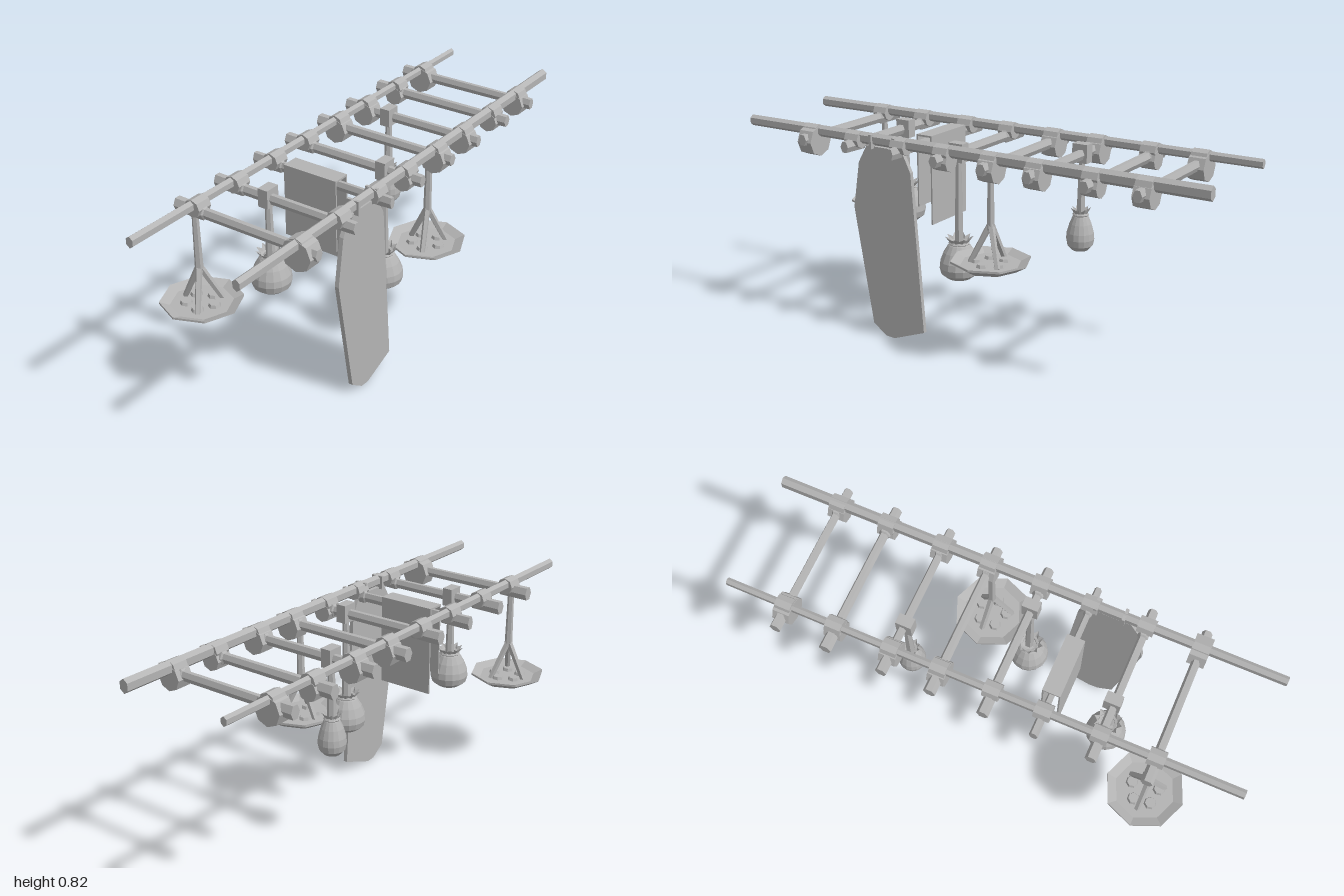
import * as THREE from 'three';

const flat = new THREE.MeshStandardMaterial({ color: 0xb4b4b4, flatShading: true, side: THREE.DoubleSide });
flat.name = 'plain grey';
const V = (x, y, z) => new THREE.Vector3(x, y, z);

function add(parent, name, geometry, x = 0, y = 0, z = 0) {
  const mesh = new THREE.Mesh(geometry, flat);
  mesh.name = name;
  mesh.position.set(x, y, z);
  parent.add(mesh);
  return mesh;
}

// Tapered bar between two points
function bar(parent, name, a, b, ra, rb, sides = 6) {
  const d = b.clone().sub(a);
  const g = new THREE.CylinderGeometry(rb, ra, d.length(), sides);
  const mesh = add(parent, name, g);
  mesh.position.copy(a).add(b).multiplyScalar(0.5);
  mesh.quaternion.setFromUnitVectors(V(0, 1, 0), d.normalize());
  return mesh;
}

// Outline given as [z, y] points, extruded along x
function slab(parent, name, points, x0, x1) {
  const shape = new THREE.Shape(points.map(([z, y]) => new THREE.Vector2(-z, y)));
  const g = new THREE.ExtrudeGeometry(shape, { depth: x1 - x0, bevelEnabled: false });
  return add(parent, name, g.rotateY(Math.PI / 2), x0, 0, 0);
}

const lathe = (points, sides) =>
  new THREE.LatheGeometry(points.map(([r, y]) => new THREE.Vector2(r, y)), sides);

// Long side rail, taller than wide
function rail(parent, x, rBack, rFront) {
  const g = new THREE.CylinderGeometry(rFront, rBack, 2, 6).rotateX(Math.PI / 2);
  g.scale(1, 1.3, 1);
  add(parent, 'sideRail', g, x, 0.797, 0);
}

// Cross beam with thicker ends outside the rails
function crossBeam(parent, z, k) {
  const g = lathe([[0, -0.315], [0.02, -0.315], [0.023, -0.205], [0.017, -0.2],
    [0.018, 0.165], [0.023, 0.17], [0.024, 0.295], [0, 0.295]], 6);
  g.rotateZ(Math.PI / 2);
  g.scale(1, 1.2, k);
  add(parent, 'crossBeam', g, 0, 0.768, z);
}

// Lashings: a small collar round the rail, a larger drum round the joint
function lashing(parent, x, z, r) {
  const disc = (name, radius, y, depth) => add(parent, name,
    new THREE.CylinderGeometry(radius, radius, depth, 8).rotateX(Math.PI / 2), x, y, z);
  disc('railCollar', 0.034, 0.788, 0.062);
  if (r > 0.035) disc('jointDrum', r, 0.757, 0.066);
}

// Hanging dish on a stem with three splayed struts
function dish(parent, x, z, turn) {
  const g = new THREE.Group();
  g.name = 'hangingDish';
  g.position.set(x, 0, z);
  parent.add(g);
  add(g, 'dishPlate', lathe([[0, 0.375], [0.11, 0.375], [0.152, 0.4], [0.152, 0.408],
    [0.115, 0.392], [0, 0.392]], 8));
  bar(g, 'stem', V(0, 0.52, 0), V(0, 0.78, 0), 0.016, 0.012);
  for (let i = 0; i < 3; i++) {
    const a = turn + i * Math.PI * 2 / 3;
    bar(g, 'strut', V(Math.cos(a) * 0.078, 0.39, Math.sin(a) * 0.078), V(0, 0.545, 0), 0.011, 0.013, 5);
  }
  for (let i = 0; i < 5; i++) {
    const a = turn + 0.5 + i * Math.PI * 2 / 5;
    add(g, 'dishPebble', new THREE.CylinderGeometry(0.02, 0.025, 0.014, 7),
      Math.cos(a) * 0.055, 0.397, Math.sin(a) * 0.055);
  }
}

// Tied pouch hanging from a rope looped over a beam
function pouch(parent, x, y, z, s) {
  const g = new THREE.Group();
  g.name = 'hangingPouch';
  g.position.set(x, 0, z);
  parent.add(g);
  const body = lathe([[0, 0], [0.045, 0.006], [0.07, 0.025], [0.077, 0.05], [0.074, 0.075],
    [0.06, 0.11], [0.043, 0.138], [0.032, 0.15]], 16);
  body.scale(s, 1, s);
  add(g, 'pouchBody', body, 0, y, 0);
  // zigzag frill: every second top corner is pushed up and out
  const frill = new THREE.CylinderGeometry(0.04, 0.03, 0.02, 20, 1, true);
  const p = frill.attributes.position;
  for (let i = 0; i < p.count; i++) {
    if (p.getY(i) < 0 || i % 2) continue;
    p.setXYZ(i, p.getX(i) * 1.38, 0.02, p.getZ(i) * 1.38);
  }
  frill.scale(s, 1, s);
  add(g, 'pouchFrill', frill, 0, y + 0.152, 0);
  const collar = new THREE.TorusGeometry(0.034 * s, 0.008, 5, 10).rotateX(Math.PI / 2);
  add(g, 'pouchTie', collar, 0, y + 0.145, 0);
  bar(g, 'rope', V(0, y + 0.145, 0), V(0, 0.76, 0), 0.018, 0.012);
  add(g, 'ropeLoop', new THREE.BoxGeometry(0.042, 0.072, 0.062), 0, 0.772, 0);
}

export function createModel() {
  const model = new THREE.Group();
  model.name = 'hangingRack';

  rail(model, -0.206, 0.014, 0.017);
  rail(model, 0.242, 0.021, 0.017);

  // [z, beam thickness, left drum radius, right drum radius]
  const rows = [
    [-0.767, 0.9, 0.055, 0.048], [-0.566, 1.0, 0.04, 0.04],
    [-0.344, 0.9, 0.05, 0.05], [-0.153, 1.0, 0.05, 0.052],
    [0.053, 0.95, 0.03, 0.038], [0.249, 0.7, 0.03, 0.03],
    [0.465, 0.9, 0.03, 0.03], [0.675, 0.95, 0.03, 0.061],
  ];
  for (const [z, k, left, right] of rows) {
    crossBeam(model, z, k);
    lashing(model, -0.202, z, left);
    lashing(model, 0.244, z, right);
  }

  dish(model, -0.213, 0.68, Math.PI);
  dish(model, 0.222, -0.137, Math.PI * 1.05);

  pouch(model, -0.067, 0.382, 0.46, 1);
  pouch(model, 0.15, 0.27, 0.053, 1);
  pouch(model, -0.093, 0.387, -0.338, 0.7);

  // Sheet folded over a beam, longer at the back
  slab(model, 'foldedSheet', [[0.284, 0.51], [0.284, 0.8], [0.214, 0.8], [0.214, 0.445],
    [0.22, 0.445], [0.22, 0.793], [0.278, 0.793], [0.278, 0.51]], -0.135, 0.097);

  // Tall hanging board under one rail
  slab(model, 'tallBoard', [[0.45, 0.7], [0.48, 0.515], [0.4, 0.045], [0.34, 0.003], [0.3, 0],
    [0.155, 0.055], [0.205, 0.69], [0.245, 0.77], [0.41, 0.77]], 0.232, 0.249);
  for (const z of [0.27, 0.38]) {
    add(model, 'boardStrap', new THREE.BoxGeometry(0.05, 0.055, 0.012), 0.242, 0.79, z);
  }
  return model;
}
